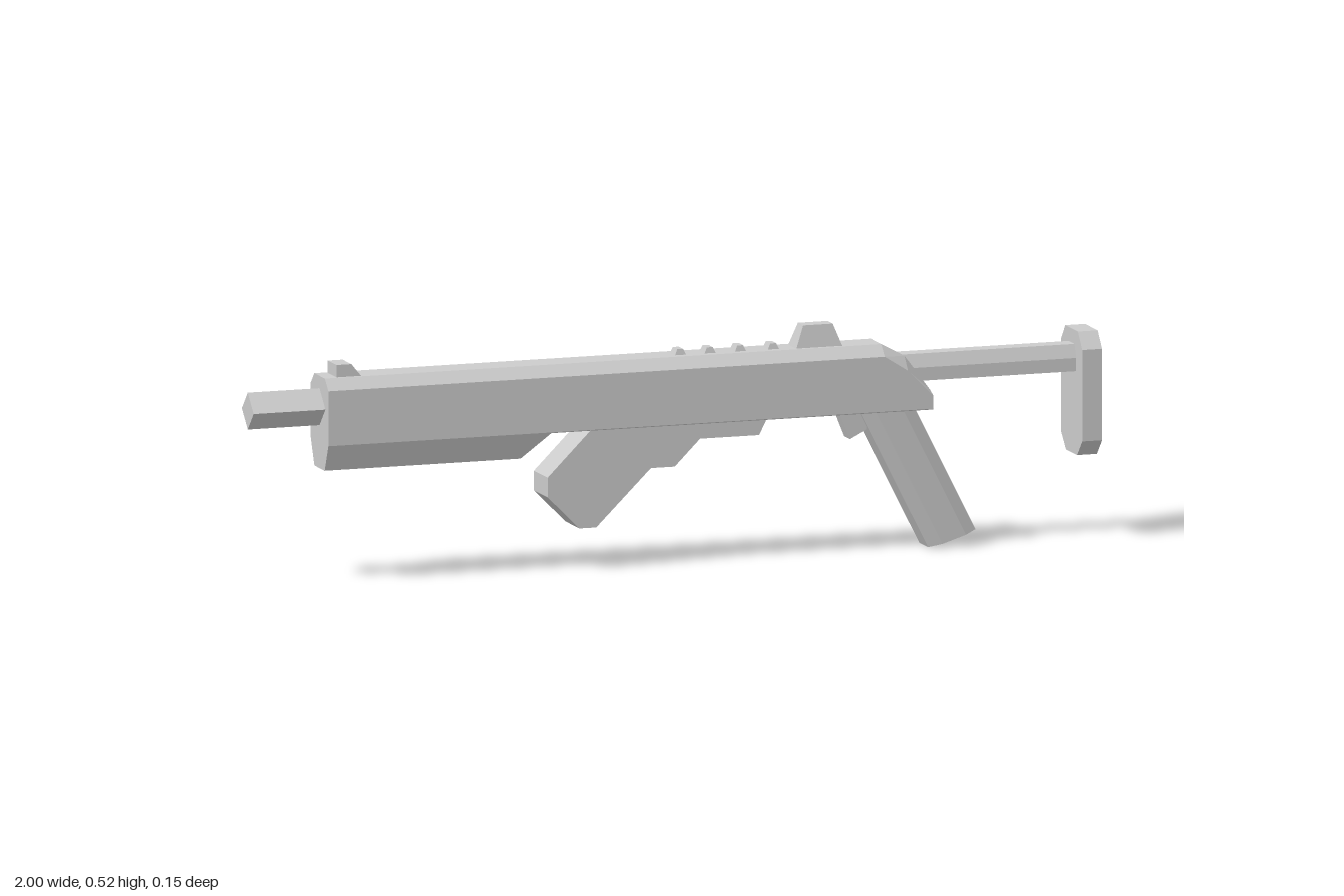
import * as THREE from 'three';

const material = new THREE.MeshStandardMaterial({ color: 0xcccccc, flatShading: true, roughness: 0.8 });

// Flat-shaded solid through convex rings of [x, y, z], low end first, clockwise as seen from the high end
function loft(rings) {
  const pos = [];
  const tri = (a, b, c) => pos.push(...a, ...b, ...c);
  const n = rings[0].length;
  for (let i = 0; i < rings.length - 1; i++) {
    const lo = rings[i], hi = rings[i + 1];
    for (let j = 0; j < n; j++) {
      const k = (j + 1) % n;
      tri(lo[j], hi[j], hi[k]);
      tri(lo[j], hi[k], lo[k]);
    }
  }
  const first = rings[0], last = rings[rings.length - 1];
  for (let k = 1; k < n - 1; k++) {
    tri(first[0], first[k], first[k + 1]);
    tri(last[0], last[k + 1], last[k]);
  }
  const g = new THREE.BufferGeometry();
  g.setAttribute('position', new THREE.Float32BufferAttribute(pos, 3));
  g.computeVertexNormals();
  return g;
}

// Mirrored cross-section at x from [halfWidth, y] points listed bottom to top
function section(x, half) {
  const left = half.map(([z, y]) => [x, y, z]);
  const right = half.map(([z, y]) => [x, y, -z]).reverse();
  return [...left, ...right];
}

// Side outline extruded across the width, centred on z = 0
function plate(points, width) {
  const shape = new THREE.Shape(points.map(([x, y]) => new THREE.Vector2(x, y)));
  return new THREE.ExtrudeGeometry(shape, { depth: width, bevelEnabled: false }).translate(0, 0, -width / 2);
}

// Rectangle at height y
const rect = (x0, x1, y, z) => [[x0, y, -z], [x1, y, -z], [x1, y, z], [x0, y, z]];

export function createModel() {
  const model = new THREE.Group();
  model.name = 'model';
  const add = (name, geometry) => {
    const mesh = new THREE.Mesh(geometry, material);
    mesh.name = name;
    model.add(mesh);
  };

  // Long chamfered body: x, bottom half width, bottom y, shoulder y, top y
  const body = [
    [-0.83, 0.035, 0.26, 0.445, 0.47],
    [-0.365, 0.035, 0.26, 0.445, 0.47],
    [-0.3, 0.058, 0.318, 0.445, 0.47],
    [0.49, 0.058, 0.318, 0.445, 0.47],
    [0.545, 0.058, 0.318, 0.41, 0.44],
    [0.605, 0.058, 0.318, 0.35, 0.36],
  ];
  add('body', loft(body.map(([x, w, bottom, shoulder, top]) =>
    section(x, [[w, bottom], [0.06, 0.32], [0.06, shoulder], [0.036, top]]))));

  // Diamond-section barrel
  const diamond = (x) => [[x, 0.358, 0], [x, 0.4, 0.04], [x, 0.442, 0], [x, 0.4, -0.04]];
  add('barrel', loft([diamond(-1), diamond(-0.8)]));

  // Stock bar and end pad
  const bar = [[0.032, 0.38], [0.032, 0.41], [0.02, 0.44]];
  add('stockBar', loft([section(0.48, bar), section(0.96, bar)]));
  const pad = [[0.038, 0.19], [0.073, 0.227], [0.073, 0.435], [0.043, 0.472]];
  add('stockPad', loft([section(0.953, pad), section(1, pad)]));

  // Slanted octagonal grip
  const gripRing = (x0, y0, x1, y1) => {
    const back = [[0, 0.03], [0.25, 0.048], [0.75, 0.048], [1, 0.033]];
    const at = ([t, z], s) => [x0 + (x1 - x0) * t, y0 + (y1 - y0) * t, s * z];
    return [...back.map((p) => at(p, -1)), ...back.map((p) => at(p, 1)).reverse()];
  };
  add('grip', loft([gripRing(0.603, 0, 0.714, 0.035), gripRing(0.43, 0.34, 0.56, 0.34)]));

  // Parts under the body
  add('trigger', plate([[0.39, 0.33], [0.42, 0.255], [0.46, 0.275], [0.46, 0.33]], 0.04));
  add('magazineWell', plate([[-0.12, 0.33], [-0.08, 0.22], [0, 0.22], [0.06, 0.28], [0.2, 0.28], [0.225, 0.33]], 0.07));
  add('magazine', plate([[-0.19, 0.33], [-0.305, 0.215], [-0.305, 0.17], [-0.23, 0.095], [-0.19, 0.095],
    [0, 0.282], [0, 0.33]], 0.094));

  // Sights and the row of small top ribs
  add('frontSight', plate([[-0.8, 0.465], [-0.8, 0.498], [-0.765, 0.498], [-0.738, 0.465]], 0.06));
  add('rearSight', loft([rect(0.29, 0.4, 0.468, 0.028), rect(0.31, 0.38, 0.52, 0.018)]));
  for (const x of [0.02, 0.09, 0.162, 0.24]) {
    add('topRib', loft([rect(x - 0.014, x + 0.014, 0.468, 0.018), rect(x - 0.007, x + 0.007, 0.483, 0.015)]));
  }
  return model;
}
